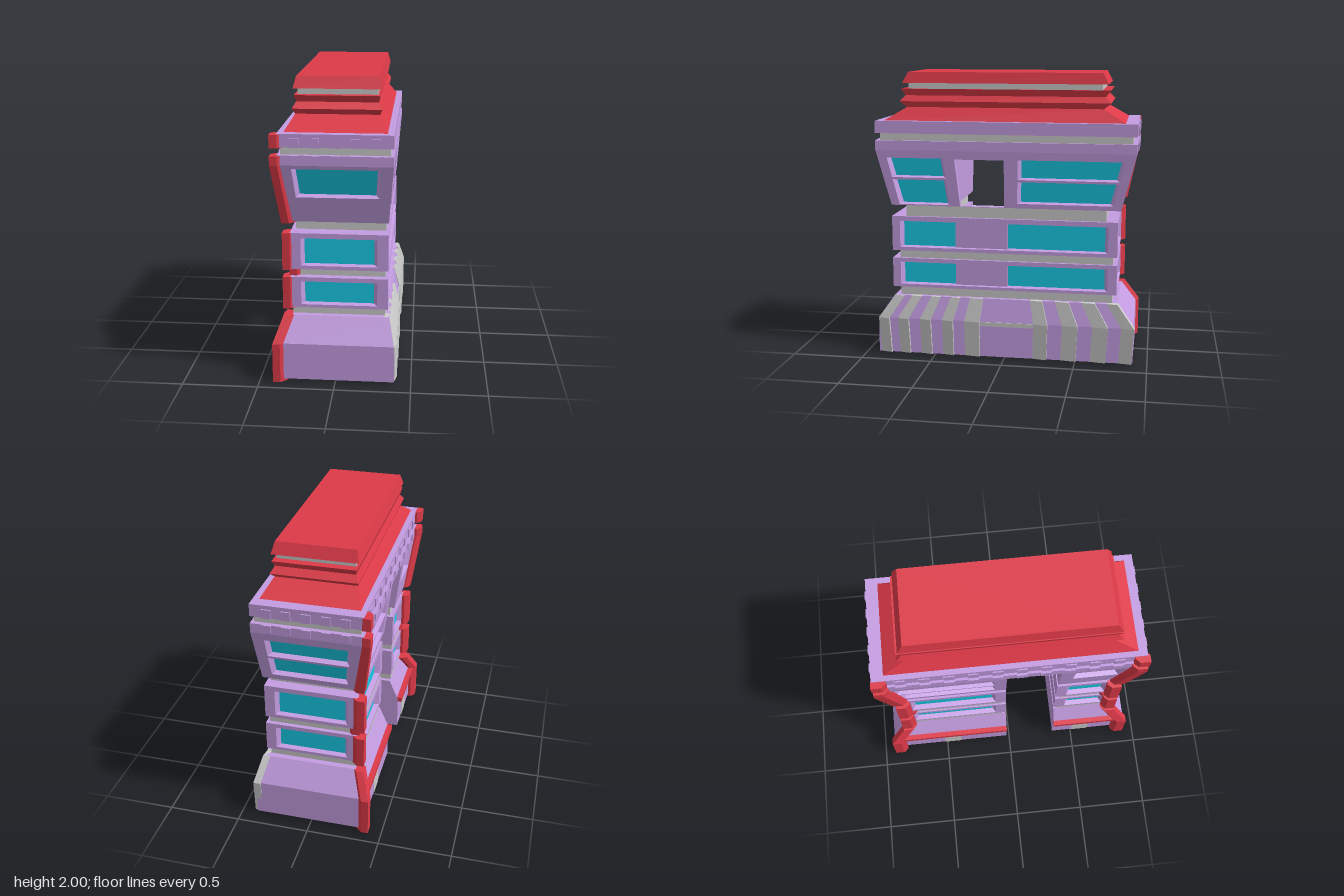
import * as THREE from 'three';

const mat = (color) => new THREE.MeshStandardMaterial({ color, flatShading: true, side: THREE.DoubleSide });
const PURPLE = mat(0xc49de2), RED = mat(0xdd3a48), GLASS = mat(0x18cbe6), GREY = mat(0xcccccc);
const V = (x, y, z) => new THREE.Vector3(x, y, z);

function add(parent, name, geo, material) {
  const m = new THREE.Mesh(geo, material);
  m.name = name;
  parent.add(m);
  return m;
}

function box(parent, name, material, x0, x1, y0, y1, z0, z1) {
  add(parent, name, new THREE.BoxGeometry(x1 - x0, y1 - y0, z1 - z0), material)
    .position.set((x0 + x1) / 2, (y0 + y1) / 2, (z0 + z1) / 2);
}

// Skin over a stack of equal-length rings, capped at both ends unless told otherwise
function loft(parent, name, rings, material, capped = true) {
  const p = [];
  const tri = (...vs) => vs.forEach((v) => p.push(v.x, v.y, v.z));
  for (let r = 0; r + 1 < rings.length; r++) {
    const a = rings[r], b = rings[r + 1];
    for (let i = 0; i < a.length; i++) {
      const j = (i + 1) % a.length;
      tri(a[i], a[j], b[j]);
      tri(a[i], b[j], b[i]);
    }
  }
  const first = rings[0], last = rings[rings.length - 1];
  for (let i = 1; capped && i + 1 < first.length; i++) {
    tri(first[0], first[i + 1], first[i]);
    tri(last[0], last[i], last[i + 1]);
  }
  const g = new THREE.BufferGeometry();
  g.setAttribute('position', new THREE.Float32BufferAttribute(p, 3));
  g.computeVertexNormals();
  add(parent, name, g, material);
}
const rect = (x0, x1, z0, z1, y) => [V(x0, y, z1), V(x1, y, z1), V(x1, y, z0), V(x0, y, z0)];

// Planar wall through four corners; openings are [u0, u1, v0, v1, unglazed]
function wall(parent, name, bl, br, tr, tl, material, openings = [], depth = 0.04) {
  const X = br.clone().sub(bl).normalize();
  const N = X.clone().cross(tl.clone().sub(bl)).normalize();
  const Y = N.clone().cross(X);
  const flat = (p) => {
    const d = p.clone().sub(bl);
    return new THREE.Vector2(d.dot(X), d.dot(Y));
  };
  const at = (u, v) => flat(bl.clone().lerp(br, u).lerp(tl.clone().lerp(tr, u), v));
  const shape = new THREE.Shape([bl, br, tr, tl].map(flat));
  const g = new THREE.Group();
  g.name = name;
  g.applyMatrix4(new THREE.Matrix4().makeBasis(X, Y, N).setPosition(bl));
  for (const [u0, u1, v0, v1, unglazed] of openings) {
    const pts = [at(u0, v0), at(u1, v0), at(u1, v1), at(u0, v1)];
    shape.holes.push(new THREE.Path(pts));
    if (unglazed) continue;
    // Splayed reveal running back to a slightly smaller pane
    const pane = pts.map((p, i) => new THREE.Vector2(p.x + (i % 3 ? -0.022 : 0.022), p.y + (i < 2 ? 0.007 : -0.007)));
    loft(g, 'windowReveal', [pts.map((p) => V(p.x, p.y, 0)), pane.map((p) => V(p.x, p.y, -depth * 0.9))], material, false);
    add(g, 'windowGlass', new THREE.ShapeGeometry(new THREE.Shape(pane)), GLASS).position.z = -depth * 0.9;
  }
  add(g, 'wallPanel', new THREE.ExtrudeGeometry(shape, { depth, bevelEnabled: false }), material).position.z = -depth;
  parent.add(g);
}

// U-shaped storey, courtyard open to -x; rectangles are [x0, x1, z0, z1]
const SIDES = ['front', 'right', 'back', 'leftRear', 'courtRear', 'courtEnd', 'courtFront', 'leftFront'];
function tier(parent, name, y0, y1, r0, r1, material, { windows = {}, skip = [], n0 = -0.02, n1 = 0.35, xi = 0.28, caps = [0, 1] } = {}) {
  const g = new THREE.Group();
  g.name = name;
  const ring = ([x0, x1, z0, z1], y) => [[x0, z1], [x1, z1], [x1, z0], [x0, z0], [x0, n0], [xi, n0], [xi, n1], [x0, n1]]
    .map(([x, z]) => V(x, y, z));
  const levels = [ring(r0, y0), ring(r1, y1)];
  const [a, b] = levels;
  SIDES.forEach((side, i) => {
    const j = (i + 1) % 8;
    if (!skip.includes(side)) wall(g, side + 'Wall', a[i], a[j], b[j], b[i], material, windows[side]);
  });
  for (const c of caps) {
    const s = new THREE.ShapeGeometry(new THREE.Shape(levels[c].map((p) => new THREE.Vector2(p.x, -p.z))));
    add(g, c ? 'ceiling' : 'floor', s.rotateX(-Math.PI / 2), material).position.y = c ? y1 : y0;
  }
  parent.add(g);
}

// Chamfered corner post; levels are [y, outer x, outer |z|]
function pillar(parent, name, s, levels) {
  const plan = [[0, 0], [0.05, 0], [0.09, 0.04], [0.09, 0.1], [0.03, 0.1], [0, 0.07]];
  loft(parent, name, levels.map(([y, x, z]) => plan.map(([dx, dz]) => V(x + dx, y, s * (z - dz)))), RED);
}

export function createModel() {
  const model = new THREE.Group();
  model.name = 'building';

  // Ground floor, open underneath, with shop fronts on the court side
  tier(model, 'groundFloor', 0.02, 0.27, [-0.36, 0.39, -0.9, 0.9], [-0.36, 0.385, -0.9, 0.9], PURPLE, { xi: 0.32, caps: [] });
  tier(model, 'slopedAwning', 0.27, 0.43, [-0.36, 0.385, -0.9, 0.9], [-0.29, 0.35, -0.79, 0.79], PURPLE, { xi: 0.3, caps: [1] });
  for (const [z0, z1, door] of [[-0.83, -0.02, -0.45], [0.35, 0.83, 0.57]]) {
    box(model, 'awningLip', RED, -0.39, -0.34, 0.25, 0.285, z0, z1);
    box(model, 'shopDoor', GREY, -0.364, -0.316, 0.022, 0.2, door - 0.065, door + 0.065);
  }
  box(model, 'entranceLip', GREY, 0.37, 0.39, 0.24, 0.27, -0.21, 0.17);

  // Wedge-shaped stripes folded over the street-side awning
  const stripes = [[0.9, 0.82], [0.76, 0.68], [0.6, 0.52], [0.44, 0.36], [0.28, 0.17],
    [-0.21, -0.31], [-0.41, -0.52], [-0.62, -0.73], [-0.82, -0.91]];
  for (const [a, b] of stripes) {
    const level = (y, x, k) => [V(x - 0.03, y, a * k), V(x + 0.006, y, a * k), V(x + 0.022, y, b * k), V(x - 0.03, y, b * k)];
    loft(model, 'awningStripe', [level(0.02, 0.385, 0.98), level(0.27, 0.385, 1), level(0.43, 0.345, 0.87)], GREY);
  }

  // Recessed grey bands between storeys
  for (const [y0, y1, x0, z] of [[0.43, 0.49, -0.29, 0.75], [0.7, 0.755, -0.29, 0.75], [1.0, 1.08, -0.27, 0.7]]) {
    const r = [x0, 0.32, -z, z];
    tier(model, 'recessedBand', y0, y1, r, r, GREY, { n0: -0.05, n1: 0.38, xi: 0.27 });
  }

  // Two window storeys
  for (const [y0, y1] of [[0.49, 0.7], [0.755, 1.0]]) {
    const r = [-0.3, 0.34, -0.78, 0.8];
    const end = [[0.11, 0.89, 0.1, 0.86]];
    tier(model, 'windowStorey', y0, y1, r, r, PURPLE, {
      windows: { front: end, back: end, right: [[0.035, 0.96, 0.1, 0.86]], leftRear: [[0.1, 0.9, 0.1, 0.86]], leftFront: [[0.17, 0.8, 0.1, 0.86]] },
    });
  }

  // Flared upper storey with an opening through to the court
  const pair = (u0, u1, v0 = 0.05) => [[u0, u1, v0, 0.47], [u0, u1, 0.51, 0.86]];
  tier(model, 'upperStorey', 1.08, 1.47, [-0.31, 0.34, -0.8, 0.8], [-0.36, 0.37, -0.9, 0.9], PURPLE, {
    skip: ['courtEnd'], xi: 0.31,
    windows: {
      front: [[0.12, 0.895, 0.44, 0.94]],
      back: pair(0.11, 0.89, 0.1),
      right: [...pair(0.037, 0.26, 0.02), ...pair(0.555, 0.963, 0.08), [0.306, 0.5, 0.005, 0.85, true]],
      leftRear: pair(0.1, 0.9, 0.1),
      leftFront: [[0.18, 0.82, 0.43, 0.9]],
    },
  });

  // Cornice: two purple bands around a grey one
  box(model, 'lowerCornice', PURPLE, -0.36, 0.37, 1.47, 1.535, -0.9, 0.9);
  box(model, 'corniceGap', GREY, -0.34, 0.35, 1.535, 1.585, -0.87, 0.87);
  box(model, 'upperCornice', PURPLE, -0.36, 0.37, 1.585, 1.67, -0.9, 0.9);
  for (const [y0, y1] of [[1.485, 1.535], [1.585, 1.645]]) {
    for (const x of [-0.25, -0.123, 0.005, 0.133, 0.26]) {
      for (const s of [-1, 1]) box(model, 'dentil', PURPLE, x - 0.03, x + 0.03, y0, y1, s * 0.9 - 0.01, s * 0.9 + 0.01);
    }
    for (let i = 0; i < 10; i++) {
      const z = -0.72 + i * 0.16;
      box(model, 'dentil', PURPLE, -0.368, -0.35, y0, y1, z - 0.035, z + 0.035);
    }
  }

  // Red corner posts on the court side, one piece per storey
  for (const s of [1, -1]) {
    const zTop = s > 0 ? 0.915 : 0.905;
    pillar(model, 'basePost', s, [[0, -0.41, 0.92], [0.27, -0.41, 0.92], [0.43, -0.35, 0.81]]);
    pillar(model, 'storeyPost', s, [[0.48, -0.35, 0.81], [0.7, -0.35, 0.81]]);
    pillar(model, 'bandPost', s, [[0.7, -0.31, 0.77], [0.75, -0.31, 0.77]]);
    pillar(model, 'storeyPost', s, [[0.75, -0.35, 0.81], [1.0, -0.35, 0.81]]);
    pillar(model, 'upperPost', s, [[1.07, -0.35, 0.82], [1.47, -0.405, zTop], [1.53, -0.405, zTop]]);
    pillar(model, 'cornicePost', s, [[1.58, -0.405, zTop], [1.665, -0.405, zTop]]);
  }

  // Stepped roof: rings are [y, half width, half length]
  const roof = (name, levels, material) => loft(model, name,
    levels.map(([y, x, z]) => rect(-x + 0.003, x + 0.003, -z + 0.012, z + 0.012, y)), material);
  roof('lowerRoof', [[1.67, 0.325, 0.83], [1.76, 0.27, 0.68], [1.8, 0.285, 0.73], [1.84, 0.262, 0.69], [1.885, 0.272, 0.725]], RED);
  roof('roofGap', [[1.885, 0.255, 0.67], [1.927, 0.255, 0.67]], GREY);
  roof('roofCap', [[1.925, 0.28, 0.71], [2.0, 0.262, 0.672]], RED);
  return model;
}
